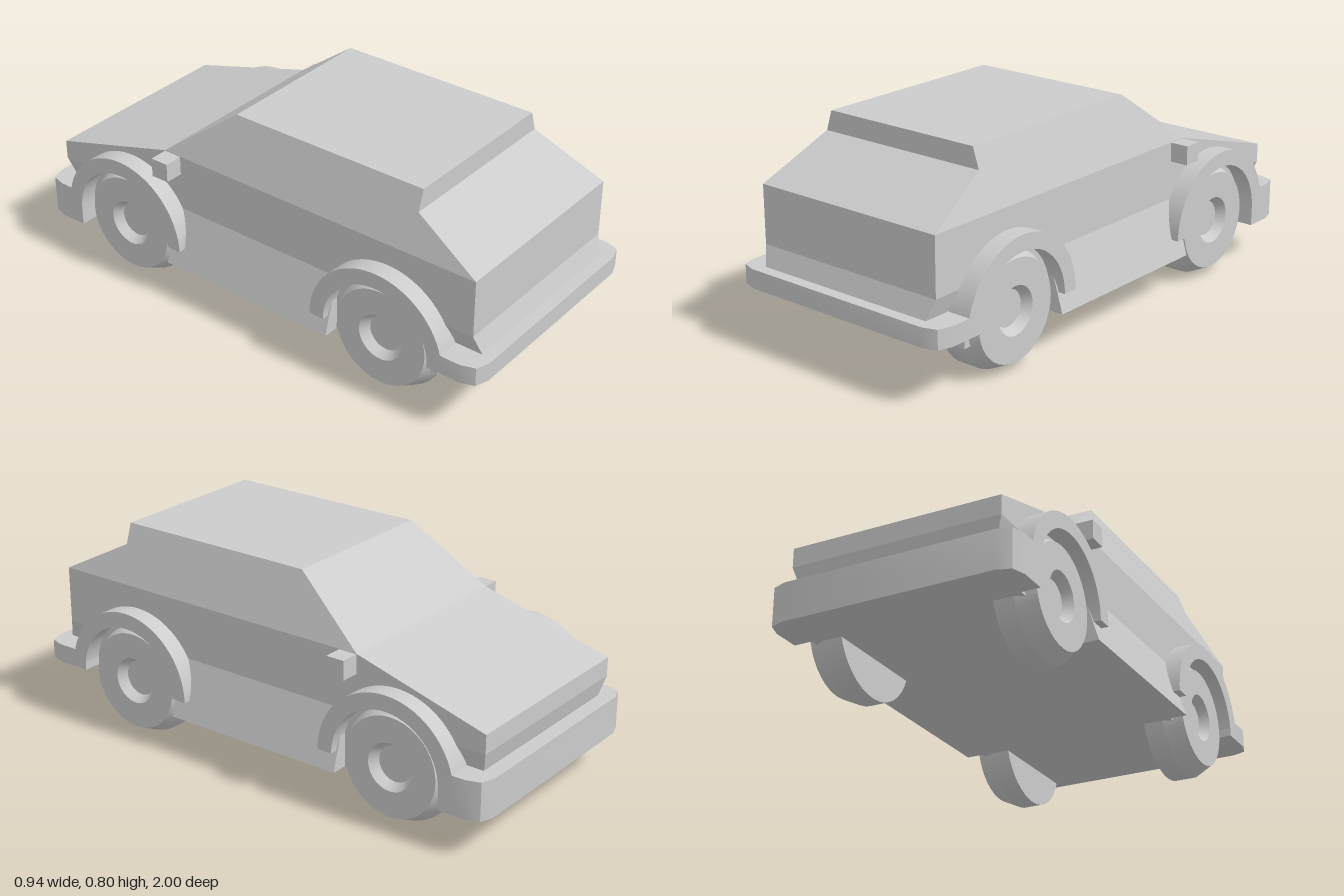
import * as THREE from 'three';
import { toCreasedNormals } from 'three/addons/utils/BufferGeometryUtils.js';

const material = new THREE.MeshStandardMaterial({ color: 0xcccccc });
const AXLE_Y = 0.222, WHEEL_R = 0.222, ARCH_R = 0.282;
const REAR_Z = 0.575, FRONT_Z = -0.603;

function add(parent, name, geometry) {
  const mesh = new THREE.Mesh(geometry, material);
  mesh.name = name;
  parent.add(mesh);
  return mesh;
}

// Side profile of [z, y] points spread across the car; widthAt(y) gives the half width.
function sideProfile(points, widthAt) {
  const shape = new THREE.Shape(points.map(([z, y]) => new THREE.Vector2(-z, y)));
  const g = new THREE.ExtrudeGeometry(shape, { depth: 2, bevelEnabled: false });
  g.rotateY(Math.PI / 2).translate(-1, 0, 0);
  const p = g.attributes.position;
  for (let i = 0; i < p.count; i++) p.setX(i, Math.sign(p.getX(i)) * widthAt(p.getY(i)));
  g.computeVertexNormals();
  return g;
}

// Plan outline with rounded outer corners, end = +1 or -1 along z.
function bumper(inner, end, bottom, top) {
  const half = [[0.47, inner], [0.47, 0.93], [0.453, 0.982], [0.4, 1]];
  const outline = [...half, ...half.map(([x, z]) => [-x, z]).reverse()];
  const shape = new THREE.Shape(outline.map(([x, z]) => new THREE.Vector2(x, -z * end)));
  const g = new THREE.ExtrudeGeometry(shape, { depth: top - bottom, bevelEnabled: false });
  g.rotateX(-Math.PI / 2).translate(0, bottom, 0);
  return toCreasedNormals(g, 0.9);
}

function archGeometry() {
  const shape = new THREE.Shape();
  shape.absarc(0, 0, ARCH_R, 0, Math.PI, false);
  shape.absarc(0, 0, WHEEL_R, Math.PI, 0, true);
  const g = new THREE.ExtrudeGeometry(shape, { depth: 0.09, bevelEnabled: false, curveSegments: 24 });
  g.rotateY(Math.PI / 2).translate(0.38, 0, 0);
  return toCreasedNormals(g, 0.6);
}

// Tyre with chamfered shoulder and a recessed hub, outer face towards +x.
function wheelGeometry() {
  const profile = [[0, 0.29], [WHEEL_R, 0.29], [WHEEL_R, 0.365], [0.188, 0.435],
    [0.09, 0.435], [0.068, 0.4], [0, 0.4]].map(([r, x]) => new THREE.Vector2(r, x));
  const g = new THREE.LatheGeometry(profile, 40);
  g.rotateZ(-Math.PI / 2);
  return toCreasedNormals(g, 0.4);
}

export function createModel() {
  const car = new THREE.Group();
  car.name = 'car';

  // Body layers, bottom to top
  add(car, 'underbody', sideProfile([[0.795, 0.147], [0.795, 0.365], [-0.84, 0.365], [-0.84, 0.147]], () => 0.4));
  add(car, 'skirt', sideProfile([[0.955, 0.292], [0.93, 0.365], [-0.96, 0.365], [-0.942, 0.292]],
    (y) => (y > 0.33 ? 0.4 : 0.377)));
  add(car, 'body', sideProfile(
    [[0.93, 0.365], [0.93, 0.585], [-0.435, 0.585], [-0.96, 0.437], [-0.96, 0.365]], () => 0.4));
  add(car, 'cabin', sideProfile(
    [[0.93, 0.585], [0.663, 0.725], [0.663, 0.802], [-0.145, 0.802], [-0.435, 0.585]],
    (y) => 0.4 - (y - 0.585) * 0.332));
  add(car, 'sills', sideProfile([[0.36, 0.147], [0.36, 0.365], [-0.388, 0.365], [-0.388, 0.147]],
    (y) => (y > 0.3 ? 0.4 : 0.465)));

  // Bumpers: shallow under the tail, deep under the bonnet
  add(car, 'tailBumper', bumper(0.795, 1, 0.22, 0.292));
  add(car, 'bonnetBumper', bumper(0.825, -1, 0.147, 0.292));

  // Wheels, arches and mirrors on both sides
  const arch = archGeometry(), wheel = wheelGeometry();
  const mirror = new THREE.BoxGeometry(0.09, 0.073, 0.073);
  for (const side of [1, -1]) {
    const sideName = side > 0 ? 'left' : 'right';
    for (const [end, z] of [['Tail', REAR_Z], ['Bonnet', FRONT_Z]]) {
      const corner = new THREE.Group();
      corner.name = `${sideName}${end}Corner`;
      corner.position.set(0, AXLE_Y, z);
      corner.rotation.y = side > 0 ? 0 : Math.PI;
      add(corner, 'wheelArch', arch);
      add(corner, 'wheel', wheel);
      car.add(corner);
    }
    add(car, `${sideName}Mirror`, mirror).position.set(side * 0.427, 0.547, -0.398);
  }
  return car;
}
